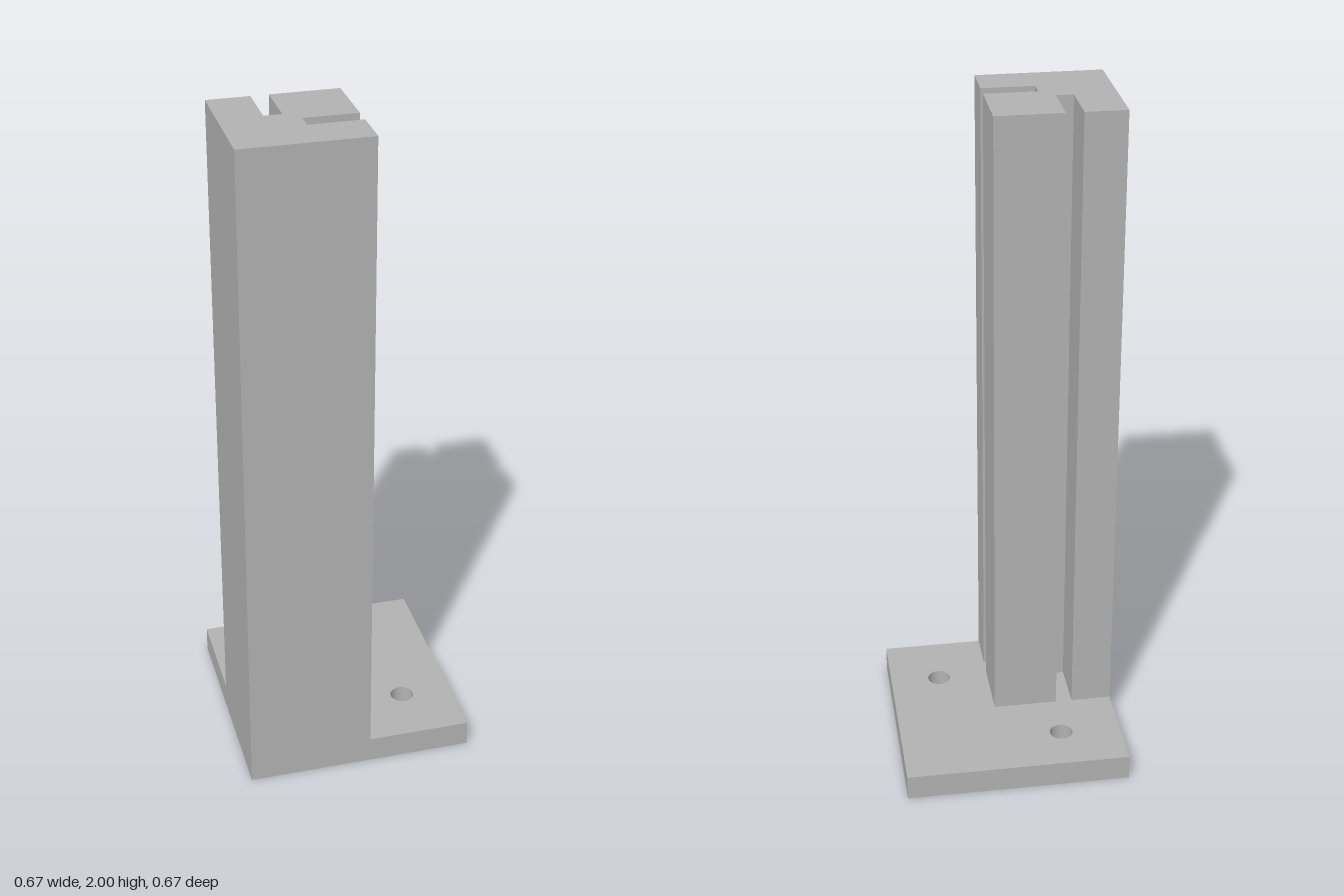
import * as THREE from 'three';

const HALF = 0.337;     // half width of the base plate
const PLATE = 0.078;    // plate thickness
const HEIGHT = 2;
const EDGE = 0.03;      // inner faces of the post lie at x = EDGE and z = -EDGE

// Outline from [x, z] points; extruded along y
function outline(points) {
  return new THREE.Shape(points.map(([x, z]) => new THREE.Vector2(x, -z)));
}

function extrudeUp(shape, y0, y1) {
  const geo = new THREE.ExtrudeGeometry(shape, { depth: y1 - y0, bevelEnabled: false, curveSegments: 32 });
  geo.rotateX(-Math.PI / 2);
  geo.translate(0, y0, 0);
  return geo;
}

export function createModel() {
  const model = new THREE.Group();
  model.name = 'slottedCornerPost';
  const grey = new THREE.MeshStandardMaterial({ color: 0xb3b3b3 });
  grey.name = 'grey';

  // Square base plate with two screw holes
  const plate = outline([[-HALF, HALF], [HALF, HALF], [HALF, -HALF], [-HALF, -HALF]]);
  for (const [x, z] of [[-0.154, -0.185], [0.184, 0.152]]) {
    plate.holes.push(new THREE.Path().absarc(x, -z, 0.035, 0, Math.PI * 2, true));
  }
  const basePlate = new THREE.Mesh(extrudeUp(plate, 0, PLATE), grey);
  basePlate.name = 'basePlate';

  // Corner post with a panel slot in each of its two inner faces
  const near = 0.165, far = 0.215, end = 0.123;
  const post = outline([
    [-HALF, HALF], [EDGE, HALF],
    [EDGE, far], [-end, far], [-end, near], [EDGE, near],
    [EDGE, -EDGE],
    [-near, -EDGE], [-near, end], [-far, end], [-far, -EDGE],
    [-HALF, -EDGE],
  ]);
  const slottedPost = new THREE.Mesh(extrudeUp(post, PLATE, HEIGHT), grey);
  slottedPost.name = 'slottedPost';

  model.add(basePlate, slottedPost);
  return model;
}
